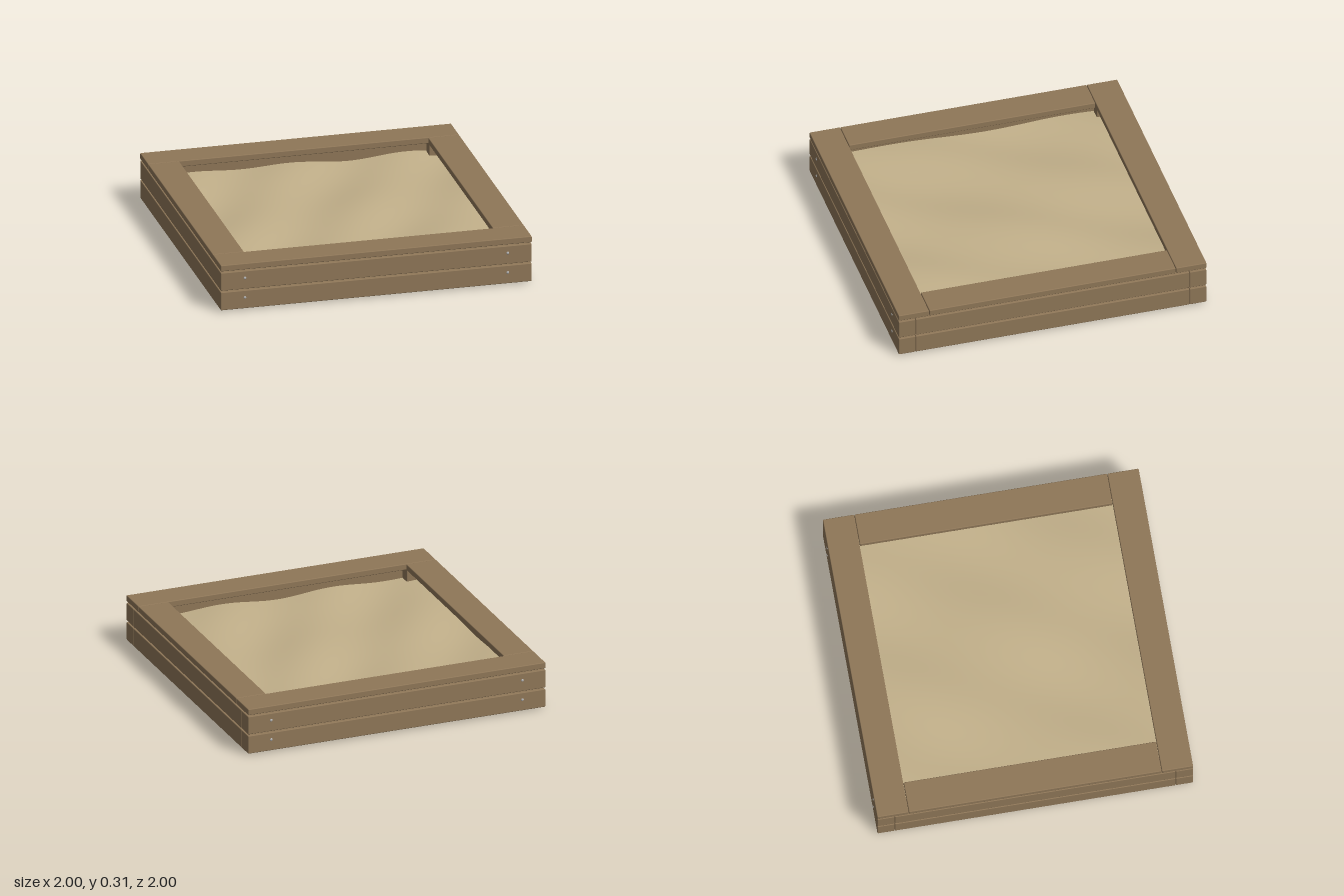
import * as THREE from 'three';
import { RoundedBoxGeometry } from 'three/addons/geometries/RoundedBoxGeometry.js';

export function createModel() {
  const group = new THREE.Group();
  const material = (name, color) => {
    const m = new THREE.MeshStandardMaterial({ color });
    m.name = name;
    return m;
  };
  const wood = material('wood', 0x8f7758);
  const sand = material('sand', 0xc2b08a);
  sand.side = THREE.DoubleSide;
  const steel = material('steel', 0xb4b4b4);

  const add = (name, geometry, mat, x, y, z) => {
    const mesh = new THREE.Mesh(geometry, mat);
    mesh.name = name;
    mesh.position.set(x, y, z);
    group.add(mesh);
    return mesh;
  };
  const plank = (w, h, d) => new RoundedBoxGeometry(w, h, d, 2, 0.005);

  // Two courses of wall boards, then the flat seat boards on top
  const longWall = plank(2, 0.12, 0.108), sideWall = plank(0.108, 0.12, 1.772);
  const longSeat = plank(2, 0.04, 0.197), sideSeat = plank(0.2, 0.04, 1.594);
  const post = plank(0.075, 0.268, 0.075);
  const screw = new THREE.SphereGeometry(0.009, 12, 8);
  screw.scale(1, 1, 0.5);

  for (const s of [-1, 1]) {
    const end = s > 0 ? 'front' : 'back';
    const side = s > 0 ? 'left' : 'right';
    for (const y of [0.07, 0.2]) {
      add(end + 'Wall', longWall, wood, 0, y, s * 0.942);
      add(side + 'Wall', sideWall, wood, s * 0.946, y, 0);
      // Screw heads joining the wall boards to the posts
      for (const x of [-0.845, 0.845]) add(end + 'Screw', screw, steel, x, y + 0.013, s * 0.996);
    }
    add(end + 'Seat', longSeat, wood, 0, 0.29, s * 0.8985);
    add(side + 'Seat', sideSeat, wood, s * 0.9, 0.29, 0);
    for (const x of [-0.848, 0.848]) add(end + 'Post', post, wood, x, 0.134, s * 0.848);
  }

  // Gently rippled sand sheet, running under the seats to the walls
  const sheet = new THREE.PlaneGeometry(1.774, 1.774, 64, 64).rotateX(-Math.PI / 2);
  const p = sheet.attributes.position;
  for (let i = 0; i < p.count; i++) {
    const x = p.getX(i), z = p.getZ(i);
    p.setY(i, 0.01 * Math.sin(9 * x + 5 * z) + 0.006 * Math.sin(5 * x - 3 * z + 1)
      + 0.004 * Math.cos(7 * z + 2 * x));
  }
  sheet.computeVertexNormals();
  add('sand', sheet, sand, 0, 0.182, 0);

  return group;
}
